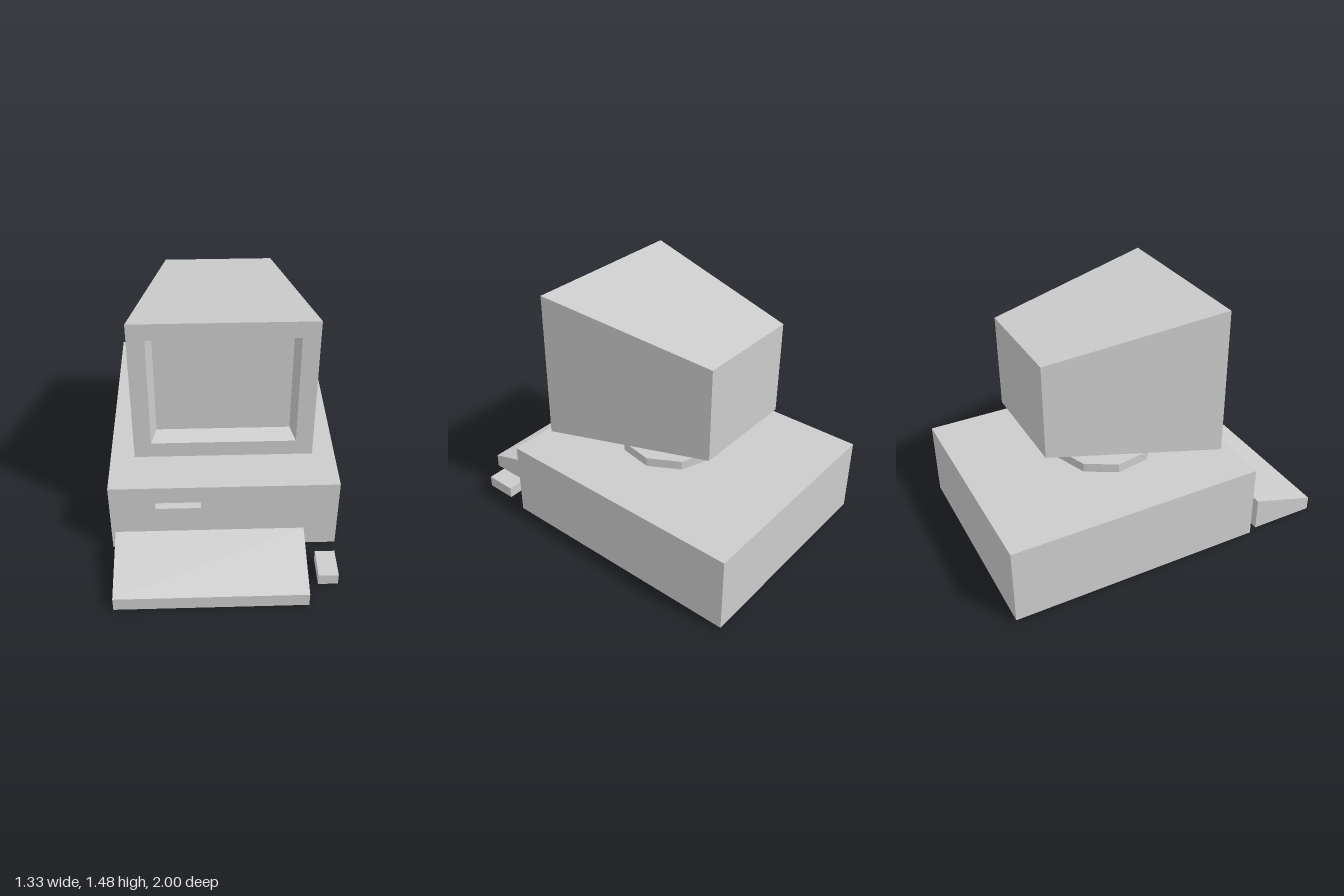
import * as THREE from 'three';

const material = new THREE.MeshStandardMaterial({ color: 0xcccccc, flatShading: true });

// Joins rectangles [x0, x1, y0, y1, z] in order and caps both ends.
// Rings that step back in z after the front face form a recess.
function loft(rings) {
  const corners = rings.map(([x0, x1, y0, y1, z]) =>
    [[x0, y0, z], [x1, y0, z], [x1, y1, z], [x0, y1, z]]);
  const positions = [];
  const quad = (a, b, c, d) => positions.push(...a, ...b, ...c, ...a, ...c, ...d);
  const first = corners[0];
  quad(first[3], first[2], first[1], first[0]);
  for (let r = 0; r < corners.length - 1; r++) {
    const a = corners[r], b = corners[r + 1];
    for (let i = 0; i < 4; i++) {
      const j = (i + 1) % 4;
      quad(a[i], a[j], b[j], b[i]);
    }
  }
  quad(...corners[corners.length - 1]);
  const geometry = new THREE.BufferGeometry();
  geometry.setAttribute('position', new THREE.Float32BufferAttribute(positions, 3));
  geometry.computeVertexNormals();
  return geometry;
}

export function createModel() {
  const model = new THREE.Group();
  model.name = 'desktopComputer';

  const add = (name, geometry, x = 0, y = 0, z = 0) => {
    const mesh = new THREE.Mesh(geometry, material);
    mesh.name = name;
    mesh.position.set(x, y, z);
    model.add(mesh);
  };

  // Case with a disk slot sunk into the front
  add('case', loft([
    [-0.665, 0.665, 0.01, 0.475, -1],
    [-0.665, 0.665, 0.01, 0.475, 0.535],
    [-0.4, -0.135, 0.315, 0.36, 0.535],
    [-0.4, -0.135, 0.315, 0.36, 0.45],
  ]));

  // Monitor tapering to the back, with a bevelled, recessed screen
  add('monitor', loft([
    [-0.325, 0.325, 0.75, 1.31, -0.64],
    [-0.51, 0.51, 0.585, 1.475, 0.385],
    [-0.412, 0.412, 0.683, 1.375, 0.385],
    [-0.382, 0.382, 0.713, 1.345, 0.295],
  ]));

  // Nine-sided swivel foot and square neck
  add('monitorFoot', new THREE.CylinderGeometry(0.302, 0.302, 0.055, 9, 1, false, Math.PI / 9), 0, 0.5025, -0.125);
  add('monitorNeck', new THREE.BoxGeometry(0.136, 0.16, 0.11), 0, 0.605, -0.126);

  // Wedge keyboard
  add('keyboard', loft([
    [-0.633, 0.46, 0, 0.202, 0.6],
    [-0.633, 0.46, 0, 0.085, 1],
  ]));

  // Mouse
  add('mouse', new THREE.BoxGeometry(0.115, 0.07, 0.187), 0.582, 0.045, 0.767);

  return model;
}
